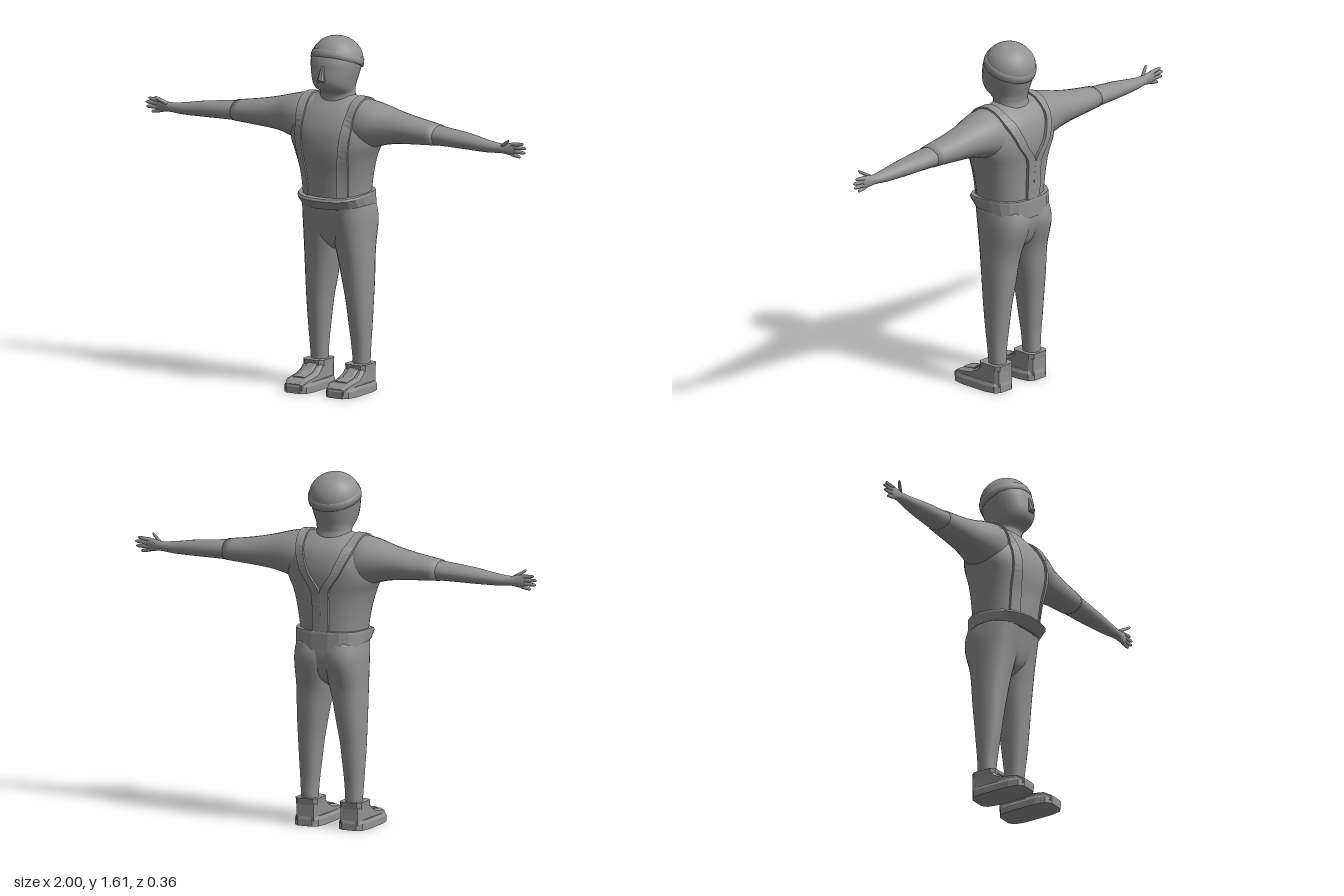
import * as THREE from 'three';

const smooth = new THREE.MeshStandardMaterial({ color: 0x929292, side: THREE.DoubleSide });
const flat = new THREE.MeshStandardMaterial({ color: 0x929292, side: THREE.DoubleSide, flatShading: true });

// Height axis, cosine axis and sine axis for each loft direction
const AXES = { x: [0, 2, 1], y: [1, 0, 2], z: [2, 1, 0] };

// Smooth curve value between b and c
function blend(a, b, c, d, t) {
  const cubic = 3 * (b - c) + d - a;
  const square = 2 * a - 5 * b + 4 * c - d;
  return b + 0.5 * t * (c - a + t * (square + t * cubic));
}

// Closed loft through sections [h, cosMin, cosMax, sinMin, sinMax]; n is the superellipse power
function loft(axis, sections, { segs = 24, n = 2, steps = 3 } = {}) {
  const rows = [];
  const last = sections.length - 1;
  for (let i = 0; i < last; i++) {
    const [a, b, c, d] = [i - 1, i, i + 1, i + 2].map(k => sections[Math.min(Math.max(k, 0), last)]);
    for (let s = 0; s < steps; s++) {
      rows.push(b.map((v, k) => blend(a[k], v, c[k], d[k], s / steps)));
    }
  }
  rows.push(sections[last]);
  const [H, C, S] = AXES[axis];
  const pos = [], index = [];
  const put = (h, c, s) => { const p = []; p[H] = h; p[C] = c; p[S] = s; pos.push(...p); };
  const pow = v => Math.sign(v) * Math.abs(v) ** (2 / n);
  for (const [h, c0, c1, s0, s1] of rows) {
    for (let j = 0; j < segs; j++) {
      const a = (j + 0.5) / segs * Math.PI * 2;
      put(h, (c0 + c1) / 2 + (c1 - c0) / 2 * pow(Math.cos(a)), (s0 + s1) / 2 + (s1 - s0) / 2 * pow(Math.sin(a)));
    }
  }
  const top = rows.length - 1, base = rows.length * segs;
  for (const r of [rows[0], rows[top]]) put(r[0], (r[1] + r[2]) / 2, (r[3] + r[4]) / 2);
  for (let j = 0; j < segs; j++) {
    const k = (j + 1) % segs;
    for (let i = 0; i < top; i++) {
      const p = i * segs + j, q = i * segs + k;
      index.push(p, p + segs, q, q, p + segs, q + segs);
    }
    index.push(base, j, k, base + 1, top * segs + k, top * segs + j);
  }
  return finish(pos, index);
}

function finish(pos, index) {
  const g = new THREE.BufferGeometry();
  g.setAttribute('position', new THREE.Float32BufferAttribute(pos, 3));
  g.setIndex(index);
  g.computeVertexNormals();
  return g;
}

// Mirror across x = 0, keeping faces outward
function mirrored(geo) {
  const pos = Array.from(geo.attributes.position.array, (v, i) => (i % 3 ? v : -v));
  return finish(pos, Array.from(geo.index.array).reverse());
}

// Symmetric section about x = 0
const sym = ([y, r, z0, z1]) => [y, -r, r, z0, z1];

export function createModel() {
  const model = new THREE.Group();
  const add = (name, geo, mat = smooth) => {
    const m = new THREE.Mesh(geo, mat);
    m.name = name;
    model.add(m);
    return m;
  };
  const pair = (name, geo, mat) =>
    [add('left' + name, geo, mat), add('right' + name, mirrored(geo), mat)];

  // Trunk and sleeves
  const torso = add('torso', loft('y', [
    [0.84, 0.152, -0.15, 0.115], [0.9, 0.152, -0.15, 0.122], [1.0, 0.168, -0.152, 0.13],
    [1.08, 0.19, -0.158, 0.144], [1.14, 0.216, -0.165, 0.145], [1.2, 0.22, -0.165, 0.136],
    [1.26, 0.2, -0.15, 0.108], [1.3, 0.165, -0.124, 0.078], [1.335, 0.11, -0.08, 0.045],
    [1.35, 0.07, -0.05, 0.03]].map(sym), { segs: 40, n: 2.3 }));
  const [sleeve] = pair('Sleeve', loft('x', [
    [0, -0.12, 0.09, 1.08, 1.34], [0.1, -0.125, 0.095, 1.09, 1.34], [0.16, -0.127, 0.1, 1.105, 1.336],
    [0.22, -0.12, 0.09, 1.128, 1.325], [0.3, -0.106, 0.066, 1.147, 1.303],
    [0.4, -0.094, 0.055, 1.156, 1.281], [0.53, -0.08, 0.046, 1.164, 1.26]]));

  // Forearm and palm
  pair('Forearm', loft('x', [
    [0.5, -0.08, 0.045, 1.166, 1.258], [0.6, -0.07, 0.042, 1.166, 1.248], [0.7, -0.056, 0.037, 1.165, 1.237],
    [0.8, -0.037, 0.031, 1.165, 1.22], [0.87, -0.023, 0.023, 1.17, 1.213],
    [0.905, -0.016, 0.016, 1.166, 1.22], [0.935, -0.011, 0.01, 1.163, 1.222],
    [0.945, -0.006, 0.005, 1.17, 1.215]], { segs: 20 }));

  // Fingers: base [x, y, z], tip [x, y, z]
  const digits = [
    ['IndexFinger', [0.925, 1.214, 0], [0.986, 1.221, 0]],
    ['MiddleFinger', [0.93, 1.2, 0], [1.0, 1.203, 0]],
    ['RingFinger', [0.93, 1.185, 0], [0.996, 1.182, 0]],
    ['LittleFinger', [0.925, 1.171, 0], [0.97, 1.161, 0]],
    ['Thumb', [0.88, 1.206, 0.008], [0.932, 1.238, 0.036]]];
  for (const [name, a, b] of digits) {
    const at = (t, r) => {
      const [x, y, z] = a.map((v, k) => v + (b[k] - v) * t);
      return [x, z - r, z + r, y - r, y + r];
    };
    pair(name, loft('x', [at(0, 0.01), at(0.5, 0.009), at(0.9, 0.007), at(1, 0.003)], { segs: 8, steps: 1 }));
  }

  // Head, neck and nose
  add('head', loft('y', [
    [1.3, 0.09, -0.1, 0.06], [1.345, 0.08, -0.088, 0.055], [1.365, 0.08, -0.09, 0.07],
    [1.385, 0.085, -0.095, 0.105], [1.42, 0.095, -0.107, 0.122], [1.47, 0.107, -0.12, 0.117],
    [1.52, 0.11, -0.118, 0.106], [1.57, 0.085, -0.08, 0.07]].map(sym), { segs: 28, n: 2.2 }));
  add('nose', loft('y', [
    [1.42, 0.018, 0.1, 0.132], [1.43, 0.017, 0.1, 0.142], [1.49, 0.007, 0.1, 0.118]].map(sym),
  { segs: 8, n: 3, steps: 1 }), flat);

  // Tilted cap with a folded rim
  const cap = new THREE.Group();
  cap.name = 'cap';
  cap.position.set(0, 1.508, -0.014);
  cap.rotation.x = -0.35;
  const dome = new THREE.Mesh(new THREE.SphereGeometry(0.116, 32, 12, 0, Math.PI * 2, 0, Math.PI / 2), smooth);
  dome.name = 'capDome';
  dome.scale.y = 0.88;
  const rimProfile = [[0.108, -0.018], [0.12, -0.018], [0.121, 0], [0.118, 0.017], [0.11, 0.017]];
  const rim = new THREE.Mesh(new THREE.LatheGeometry(rimProfile.map(p => new THREE.Vector2(...p)), 32), smooth);
  rim.name = 'capRim';
  cap.add(dome, rim);
  model.add(cap);

  // Belt, its lower edge dipping at front and back, its upper edge at the front only
  const belt = loft('y', [
    [0.855, 0.145, -0.145, 0.1], [0.855, 0.163, -0.166, 0.116], [0.9, 0.167, -0.167, 0.153],
    [0.91, 0.165, -0.165, 0.146], [0.91, 0.14, -0.14, 0.115]].map(sym), { segs: 20, n: 2.6, steps: 1 });
  const bp = belt.attributes.position;
  for (let i = 0; i < bp.count; i++) {
    const y = bp.getY(i), z = bp.getZ(i);
    bp.setY(i, y - (y < 0.86 ? 1.2 * z * z : 0.13 * Math.max(z, 0)));
  }
  add('belt', belt, flat);

  // Braces laid on the torso: x, height, angle over the shoulder in degrees
  const route = new THREE.CatmullRomCurve3([
    [0.095, 0.88, 0], [0.099, 0.96, 0], [0.107, 1.04, 0], [0.116, 1.12, 0], [0.123, 1.19, 0],
    [0.128, 1.2, 25], [0.132, 1.2, 50], [0.134, 1.2, 75], [0.134, 1.2, 100], [0.128, 1.2, 125],
    [0.115, 1.2, 150], [0.097, 1.2, 170], [0.072, 1.17, 180], [0.043, 1.13, 180], [0.022, 1.09, 180],
    [0.018, 1.02, 180], [0.018, 0.95, 180], [0.018, 0.88, 180]
  ].map(p => new THREE.Vector3(...p)), false, 'catmullrom').getPoints(51);
  const ray = new THREE.Raycaster();
  const sp = [], si = [];
  route.forEach(({ x, y, z: deg }, i) => {
    const a = THREE.MathUtils.degToRad(deg);
    const out = new THREE.Vector3(0, Math.sin(a), Math.cos(a));
    const rise = deg > 140 ? 0.014 : 0.009;
    for (const [dx, lift] of [[-0.021, -0.008], [-0.021, rise], [0.021, rise], [0.021, -0.008]]) {
      ray.set(new THREE.Vector3(x + dx, y, -0.02).add(out), out.clone().negate());
      const [hit] = ray.intersectObjects([torso, sleeve]);
      sp.push(...hit.point.addScaledVector(out, lift).toArray());
    }
    if (i) for (let k = 0; k < 3; k++) {
      const q = i * 4 + k;
      si.push(q - 4, q - 3, q, q, q - 3, q + 1);
    }
  });
  pair('Brace', finish(sp, si), flat);

  // Trousers
  add('trouserSeat', loft('y', [
    [0.645, 0.015, -0.06, 0.02], [0.68, 0.06, -0.115, 0.057], [0.73, 0.125, -0.142, 0.08],
    [0.8, 0.16, -0.16, 0.097], [0.87, 0.155, -0.155, 0.112]].map(sym), { segs: 28, n: 2.5 }));
  pair('TrouserLeg', loft('y', [
    [0.1, 0.074, 0.146, -0.08, -0.002], [0.2, 0.068, 0.152, -0.082, 0.006],
    [0.3, 0.058, 0.157, -0.092, 0.02], [0.4, 0.047, 0.161, -0.102, 0.032],
    [0.5, 0.029, 0.164, -0.114, 0.043], [0.6, 0.011, 0.165, -0.124, 0.056],
    [0.66, -0.002, 0.165, -0.135, 0.066], [0.74, -0.02, 0.166, -0.16, 0.081],
    [0.8, -0.035, 0.165, -0.168, 0.094], [0.86, -0.04, 0.158, -0.155, 0.108]], { n: 2.3 }));

  // Boots
  const low = { segs: 8, n: 5, steps: 1 };
  pair('BootSole', loft('y', [
    [0, 0.04, 0.18, -0.096, 0.188], [0.03, 0.04, 0.18, -0.096, 0.188],
    [0.045, 0.047, 0.173, -0.092, 0.18]], { segs: 12, n: 4, steps: 1 }), flat);
  pair('BootUpper', loft('z', [
    [-0.09, 0.01, 0.118, 0.066, 0.154], [-0.07, 0.01, 0.118, 0.056, 0.164], [0.02, 0.01, 0.116, 0.056, 0.164],
    [0.035, 0.01, 0.098, 0.055, 0.165], [0.07, 0.01, 0.076, 0.05, 0.17],
    [0.145, 0.01, 0.064, 0.05, 0.17], [0.183, 0.01, 0.042, 0.065, 0.155]], low), flat);
  pair('BootCollar', loft('y', [
    [0.095, 0.056, 0.164, -0.092, 0.03], [0.126, 0.054, 0.166, -0.096, 0.034]], low), flat);
  pair('BootTongue', loft('z', [
    [0.02, 0.06, 0.122, 0.082, 0.138], [0.04, 0.06, 0.104, 0.082, 0.138],
    [0.075, 0.05, 0.082, 0.08, 0.14], [0.14, 0.05, 0.069, 0.078, 0.142]], low), flat);

  return model;
}
